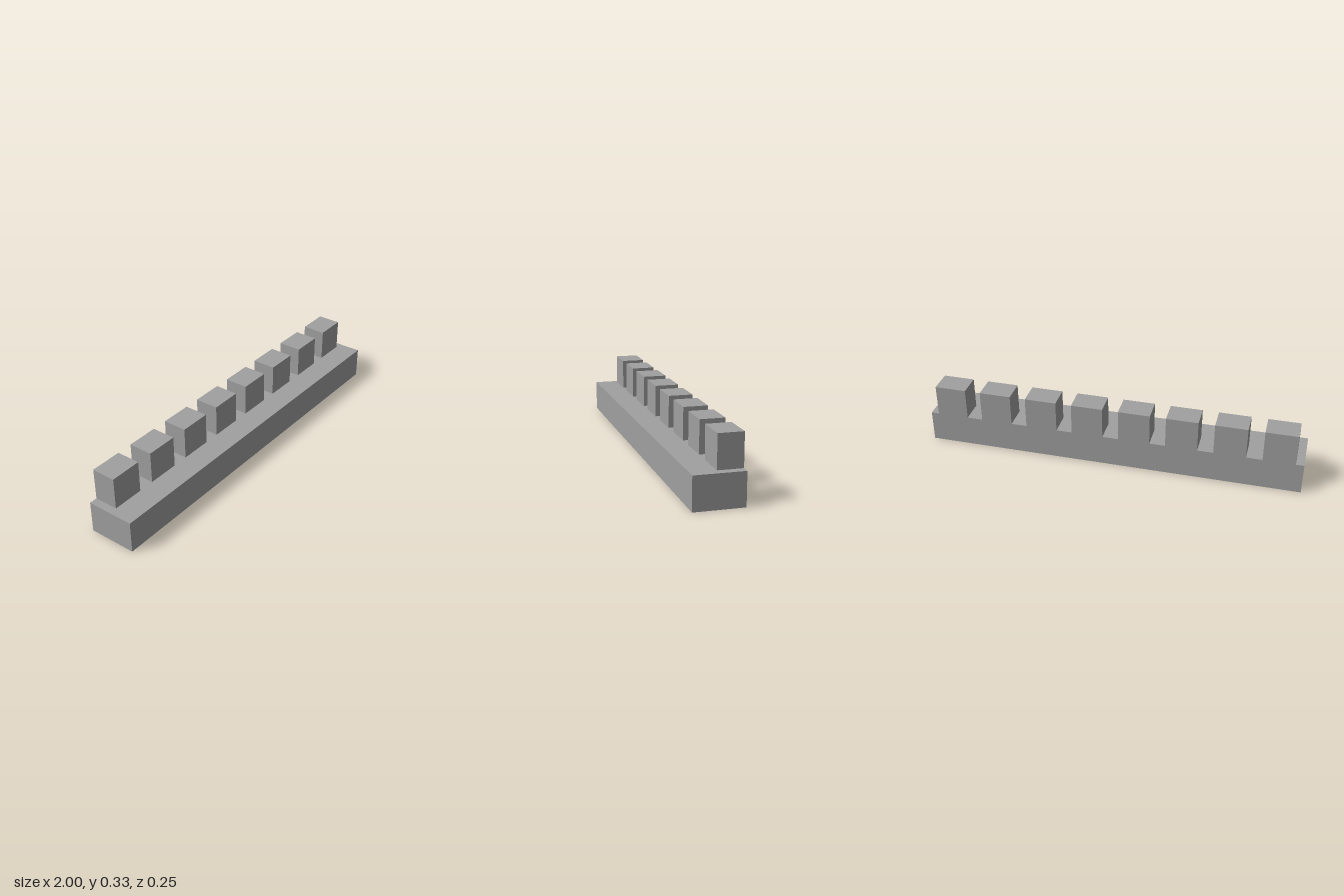
import * as THREE from 'three';

export function createModel() {
  const model = new THREE.Group();
  model.name = 'battlement';

  const stone = new THREE.MeshStandardMaterial({ color: 0xa0a0a0 });
  stone.name = 'stone grey';

  const length = 2, depth = 0.25, height = 1 / 6;
  const count = 8, pitch = length / count;

  const addBlock = (name, w, h, d, x, y, z) => {
    const mesh = new THREE.Mesh(new THREE.BoxGeometry(w, h, d), stone);
    mesh.name = name;
    mesh.position.set(x, y, z);
    model.add(mesh);
  };

  // Long wall walk
  addBlock('wallBase', length, height, depth, 0, height / 2, 0);

  // Row of merlons, flush with the back of the wall
  for (let i = 0; i < count; i++) {
    const x = -length / 2 + pitch * (i + 0.5);
    addBlock(`merlon${i + 1}`, height, height, depth / 2, x, height * 1.5, -depth / 4);
  }

  return model;
}
